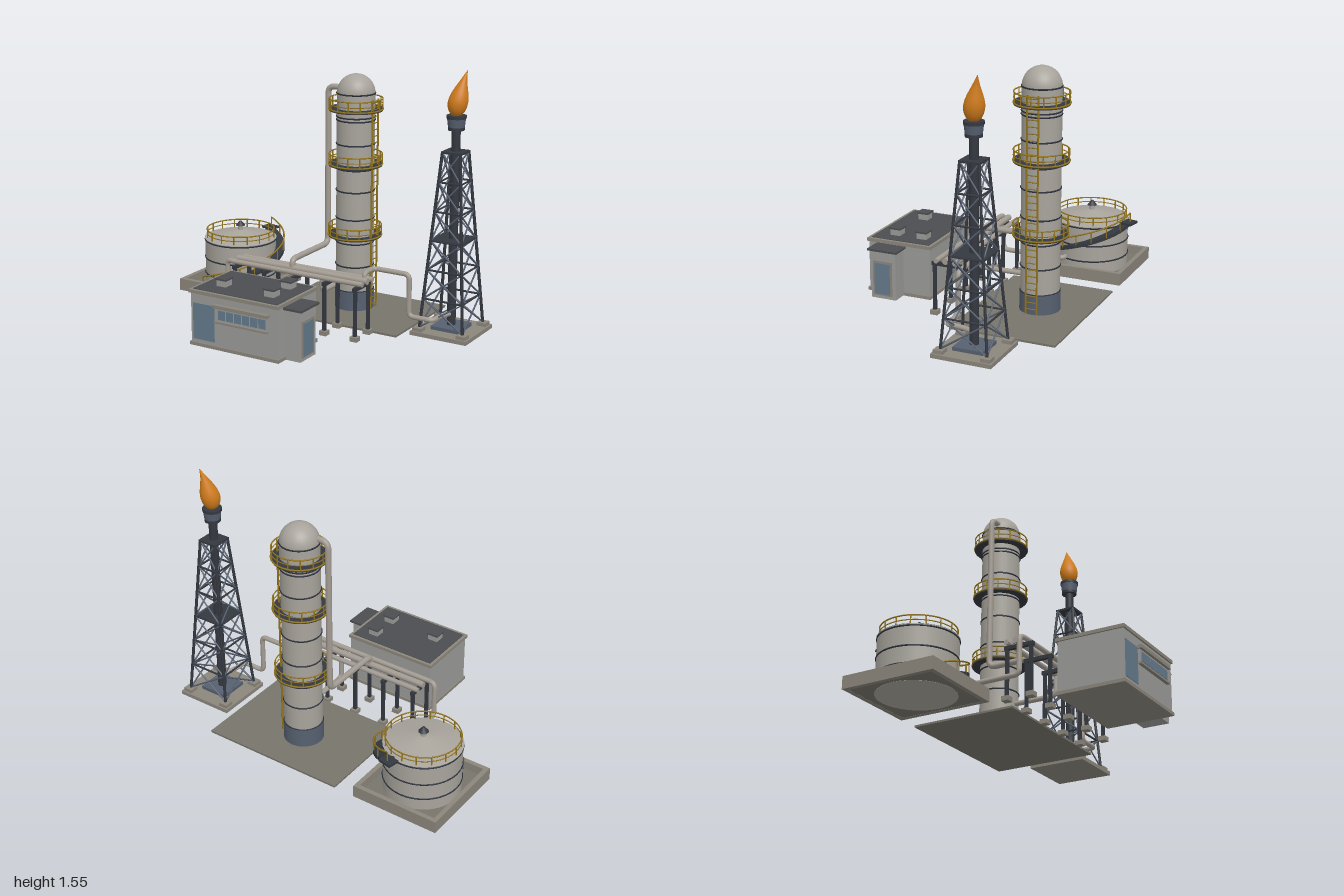
import * as THREE from 'three';

const mat = (color, extra = {}) => new THREE.MeshStandardMaterial({ color, ...extra });
const M = {
  steel: mat(0xa8a49c), pipe: mat(0xa29b92), concrete: mat(0x8b867c), ground: mat(0x78746b),
  wall: mat(0x9a9b98), roof: mat(0x4b4d50), dark: mat(0x34383f), band: mat(0x2b303c),
  blue: mat(0x566070), rail: mat(0x93751c), glass: mat(0x64798a), flame: mat(0xd07c1c),
};
const V = (x, y, z) => new THREE.Vector3(x, y, z);

function add(parent, name, geo, material, x = 0, y = 0, z = 0) {
  const m = new THREE.Mesh(geo, material);
  m.name = name;
  m.position.set(x, y, z);
  parent.add(m);
  return m;
}
function group(parent, name, x = 0, y = 0, z = 0) {
  const g = new THREE.Group();
  g.name = name;
  g.position.set(x, y, z);
  parent.add(g);
  return g;
}
// Box given by its x, y and z ranges
function box(p, name, m, x0, x1, y0, y1, z0, z1) {
  return add(p, name, new THREE.BoxGeometry(x1 - x0, y1 - y0, z1 - z0), m, (x0 + x1) / 2, (y0 + y1) / 2, (z0 + z1) / 2);
}
// Upright cylinder from y0 to y1
function cyl(p, name, m, r, y0, y1, rTop = r, seg = 32) {
  return add(p, name, new THREE.CylinderGeometry(rTop, r, y1 - y0, seg), m, 0, (y0 + y1) / 2, 0);
}
// Straight bar between two points
function bar(p, name, m, a, b, r, seg = 6) {
  const d = b.clone().sub(a), mid = a.clone().add(b).multiplyScalar(0.5);
  const o = add(p, name, new THREE.CylinderGeometry(r, r, d.length(), seg), m, mid.x, mid.y, mid.z);
  o.quaternion.setFromUnitVectors(V(0, 1, 0), d.normalize());
  return o;
}
function hoop(p, name, m, r, tube, y, seg = 40) {
  add(p, name, new THREE.TorusGeometry(r, tube, 6, seg), m, 0, y, 0).rotation.x = Math.PI / 2;
}
// Pipe through corner points, with rounded elbows
function pipe(p, name, pts, r, bend = 0.035) {
  const path = new THREE.CurvePath();
  let last = pts[0];
  for (let i = 1; i < pts.length - 1; i++) {
    const c = pts[i];
    const toward = q => c.clone().add(q.clone().sub(c).setLength(Math.min(bend, c.distanceTo(q) * 0.49)));
    const a = toward(pts[i - 1]), b = toward(pts[i + 1]);
    path.add(new THREE.LineCurve3(last, a));
    path.add(new THREE.QuadraticBezierCurve3(a, c, b));
    last = b;
  }
  path.add(new THREE.LineCurve3(last, pts[pts.length - 1]));
  add(p, name, new THREE.TubeGeometry(path, 120, r, 12), M.pipe);
}
// Round guard rail with two hoops and posts
function guardRail(p, r, y, h, posts) {
  hoop(p, 'topRail', M.rail, r, 0.004, y + h);
  hoop(p, 'midRail', M.rail, r, 0.003, y + h * 0.5);
  for (let i = 0; i < posts; i++) {
    const a = (i / posts) * Math.PI * 2, x = r * Math.cos(a), z = r * Math.sin(a);
    bar(p, 'railPost', M.rail, V(x, y, z), V(x, y + h, z), 0.004);
  }
}

function buildTank(root) {
  const g = group(root, 'storageTank', -0.725, 0, -0.385);
  // Containment basin
  const s = new THREE.Shape([[-0.275, -0.29], [0.275, -0.29], [0.275, 0.29], [-0.275, 0.29]].map(p => new THREE.Vector2(...p)));
  s.holes.push(new THREE.Path([[-0.247, -0.262], [-0.247, 0.262], [0.247, 0.262], [0.247, -0.262]].map(p => new THREE.Vector2(...p))));
  add(g, 'basinWall', new THREE.ExtrudeGeometry(s, { depth: 0.075, bevelEnabled: false }), M.concrete).rotation.x = -Math.PI / 2;
  box(g, 'basinFloor', M.ground, -0.26, 0.26, 0.001, 0.025, -0.275, 0.275);
  // Shell and roof
  cyl(g, 'tankShell', M.steel, 0.226, 0, 0.325);
  for (const y of [0.1, 0.2, 0.315]) hoop(g, 'tankBand', M.band, 0.226, 0.005, y);
  cyl(g, 'tankRoof', M.steel, 0.23, 0.325, 0.372, 0.02);
  cyl(g, 'vent', M.steel, 0.016, 0.36, 0.4);
  cyl(g, 'ventCap', M.dark, 0.03, 0.4, 0.43, 0.006, 16);
  guardRail(g, 0.215, 0.325, 0.055, 16);
  // Spiral stair, climbing from the front round the left side to the back
  const a0 = 2.02, a1 = -1.36, y0 = 0.035, y1 = 0.33;
  const at = (t, r, dy) => {
    const a = a0 + (a1 - a0) * t;
    return V(r * Math.cos(a), y0 + (y1 - y0) * t + dy, r * Math.sin(a));
  };
  const geo = new THREE.BoxGeometry(1, 1, 1, 48, 1, 1), pos = geo.attributes.position;
  for (let i = 0; i < pos.count; i++) {
    const p = at(pos.getX(i) + 0.5, 0.253 + pos.getZ(i) * 0.056, pos.getY(i) * 0.022);
    pos.setXYZ(i, p.x, p.y, p.z);
  }
  geo.computeVertexNormals();
  add(g, 'spiralStair', geo, M.dark);
  const curve = [];
  for (let i = 0; i <= 24; i++) curve.push(at(i / 24, 0.278, 0.068));
  add(g, 'stairRail', new THREE.TubeGeometry(new THREE.CatmullRomCurve3(curve), 80, 0.005, 6), M.rail);
  for (let i = 0; i <= 10; i++) bar(g, 'stairPost', M.rail, at(i / 10, 0.278, 0), at(i / 10, 0.278, 0.068), 0.004);
  const end = at(1, 0.27, 0);
  const landing = add(g, 'stairLanding', new THREE.BoxGeometry(0.085, 0.014, 0.07), M.dark, end.x, 0.335, end.z);
  landing.rotation.y = -0.2;
}

function buildColumn(root) {
  box(root, 'columnPad', M.ground, -0.32, 0.595, 0, 0.012, -0.675, -0.03);
  const g = group(root, 'column', 0.115, 0, -0.385);
  cyl(g, 'skirt', M.blue, 0.12, 0.005, 0.13);
  cyl(g, 'columnShell', M.steel, 0.115, 0.13, 1.34);
  add(g, 'columnDome', new THREE.SphereGeometry(0.115, 32, 12, 0, Math.PI * 2, 0, Math.PI / 2), M.steel, 0, 1.34, 0);
  for (const y of [0.13, 0.285, 0.43, 0.58, 0.75, 0.885, 1.035, 1.18, 1.2, 1.34]) hoop(g, 'columnBand', M.band, 0.115, 0.005, y);
  // Ring walkways
  for (const y of [0.468, 0.908, 1.243]) {
    const w = group(g, 'walkway');
    cyl(w, 'walkwayDeck', M.dark, 0.162, y - 0.008, y + 0.006);
    hoop(w, 'deckEdge', M.rail, 0.162, 0.005, y + 0.002);
    guardRail(w, 0.16, y, 0.064, 14);
  }
  // Ladder on the left side
  for (const z of [-0.034, 0.034]) bar(g, 'ladderStile', M.rail, V(0.132, 0.02, z), V(0.132, 1.31, z), 0.006);
  for (let y = 0.05; y < 1.3; y += 0.04) bar(g, 'ladderRung', M.rail, V(0.132, y, -0.034), V(0.132, y, 0.034), 0.0035);
}

function buildFlare(root) {
  const g = group(root, 'flareTower', 0.82, 0, -0.295);
  box(g, 'flarePad', M.concrete, -0.18, 0.18, 0, 0.024, -0.18, 0.18);
  box(g, 'stackPlinth', M.blue, -0.09, 0.09, 0.02, 0.045, -0.09, 0.09);
  // Tapered lattice
  const yb = 0.045, yt = 1.08, n = 6, dirs = [[1, 1], [-1, 1], [-1, -1], [1, -1]];
  const corner = (k, i) => {
    const t = i / n, w = 0.138 + (0.056 - 0.138) * t, [sx, sz] = dirs[k % 4];
    return V(sx * w, yb + (yt - yb) * t, sz * w);
  };
  for (let k = 0; k < 4; k++) {
    const [sx, sz] = dirs[k];
    add(g, 'towerFoot', new THREE.BoxGeometry(0.058, 0.022, 0.058), M.concrete, sx * 0.14, 0.034, sz * 0.14);
    bar(g, 'towerLeg', M.dark, corner(k, 0), corner(k, n), 0.009);
    for (let i = 0; i < n; i++) {
      bar(g, 'towerBrace', M.blue, corner(k, i), corner(k + 1, i + 1), 0.005);
      bar(g, 'towerBrace', M.blue, corner(k + 1, i), corner(k, i + 1), 0.005);
      bar(g, 'towerStrut', M.dark, corner(k, i + 1), corner(k + 1, i + 1), 0.006);
    }
  }
  box(g, 'middleDeck', M.dark, -0.1, 0.1, 0.558, 0.57, -0.1, 0.1);
  box(g, 'topDeck', M.dark, -0.063, 0.063, 1.074, 1.086, -0.063, 0.063);
  // Stack, burner tip and flame
  cyl(g, 'stack', M.dark, 0.026, 0.03, 1.215, 0.026, 20);
  cyl(g, 'burnerTip', M.blue, 0.046, 1.21, 1.29, 0.056, 24);
  for (const [y, r] of [[1.213, 0.048], [1.28, 0.057]]) cyl(g, 'burnerRing', M.dark, r, y - 0.006, y + 0.012, r, 24);
  const pts = [[0.001, 0], [0.03, 0.01], [0.05, 0.04], [0.058, 0.08], [0.052, 0.12], [0.036, 0.165], [0.018, 0.21], [0.001, 0.262]];
  const profile = new THREE.SplineCurve(pts.map(p => new THREE.Vector2(...p))).getPoints(24);
  const geo = new THREE.LatheGeometry(profile, 24), pos = geo.attributes.position;
  for (let i = 0; i < pos.count; i++) {
    const t = pos.getY(i) / 0.262, lean = 0.042 * t * t;
    pos.setX(i, pos.getX(i) + lean);
    pos.setZ(i, pos.getZ(i) - lean);
  }
  geo.computeVertexNormals();
  add(g, 'flame', geo, M.flame, 0, 1.285, 0);
}

function buildControlRoom(root) {
  const g = group(root, 'controlRoom');
  box(g, 'plinth', M.concrete, -0.358, 0.243, 0, 0.02, 0.264, 0.682);
  box(g, 'walls', M.wall, -0.35, 0.235, 0.02, 0.315, 0.272, 0.674);
  box(g, 'roofTrim', M.concrete, -0.36, 0.243, 0.312, 0.332, 0.262, 0.684);
  box(g, 'roofSurface', M.roof, -0.342, 0.225, 0.325, 0.335, 0.28, 0.665);
  for (const [x, z] of [[-0.22, 0.53], [0.115, 0.37], [0.115, 0.545]]) {
    box(g, 'roofVent', M.wall, x - 0.032, x + 0.032, 0.33, 0.375, z - 0.032, z + 0.032);
    box(g, 'roofVentCap', M.roof, x - 0.038, x + 0.038, 0.372, 0.382, z - 0.038, z + 0.038);
  }
  // Front panel and strip window
  box(g, 'frontGlazing', M.glass, -0.335, -0.19, 0.04, 0.255, 0.67, 0.678);
  box(g, 'windowFrame', M.wall, -0.175, 0.17, 0.17, 0.262, 0.67, 0.683);
  for (let i = 0; i < 6; i++) box(g, 'windowPane', M.glass, -0.155 + i * 0.054, -0.11 + i * 0.054, 0.185, 0.24, 0.675, 0.687);
  box(g, 'windowHood', M.concrete, -0.185, 0.18, 0.252, 0.272, 0.67, 0.7);
  box(g, 'windowSill', M.concrete, -0.18, 0.175, 0.163, 0.175, 0.67, 0.695);
  // Entrance porch on the left side
  box(g, 'porch', M.wall, 0.23, 0.338, 0, 0.298, 0.445, 0.605);
  box(g, 'porchRoof', M.roof, 0.23, 0.355, 0.295, 0.308, 0.43, 0.622);
  box(g, 'doorFrame', M.concrete, 0.33, 0.344, 0.02, 0.235, 0.468, 0.592);
  box(g, 'door', M.glass, 0.335, 0.348, 0.03, 0.222, 0.48, 0.58);
}

function buildPipeRack(root) {
  const g = group(root, 'pipeRack');
  for (const x of [-0.41, -0.2, 0.005, 0.215, 0.42]) {
    for (const z of [-0.01, 0.143]) {
      box(g, 'rackFoot', M.concrete, x - 0.023, x + 0.023, 0, 0.027, z - 0.023, z + 0.023);
      box(g, 'rackPost', M.dark, x - 0.009, x + 0.009, 0.02, 0.315, z - 0.009, z + 0.009);
    }
    box(g, 'rackBeam', M.dark, x - 0.011, x + 0.011, 0.3, 0.322, -0.025, 0.158);
  }
  for (const [z, r] of [[0, 0.015], [0.06, 0.019], [0.12, 0.015]])
    bar(g, 'rackPipe', M.pipe, V(-0.44, 0.322 + r, z), V(0.455, 0.322 + r, z), r, 16);
  // Connecting lines
  pipe(g, 'overheadPipe', [V(0.05, 1.37, -0.35), V(-0.055, 1.37, -0.35), V(-0.055, 0.395, -0.35), V(-0.055, 0.395, 0.06), V(-0.055, 0.335, 0.06)], 0.018, 0.045);
  pipe(g, 'feedPipe', [V(0.115, 0.335, 0), V(0.115, 0.21, 0), V(0.115, 0.21, -0.3)], 0.015);
  pipe(g, 'flarePipe', [V(0.4, 0.335, 0), V(0.4, 0.368, 0), V(0.4, 0.368, -0.11), V(0.635, 0.368, -0.11), V(0.635, 0.115, -0.11), V(0.79, 0.115, -0.11), V(0.79, 0.115, -0.19), V(0.82, 0.115, -0.29)], 0.015);
  pipe(g, 'tankPipe', [V(-0.6, 0.11, -0.29), V(-0.484, 0.11, -0.29), V(-0.484, 0.11, 0.112), V(-0.484, 0.337, 0.112), V(-0.43, 0.337, 0.12)], 0.015);
}

export function createModel() {
  const root = new THREE.Group();
  root.name = 'refinery';
  buildTank(root);
  buildColumn(root);
  buildFlare(root);
  buildControlRoom(root);
  buildPipeRack(root);
  return root;
}
